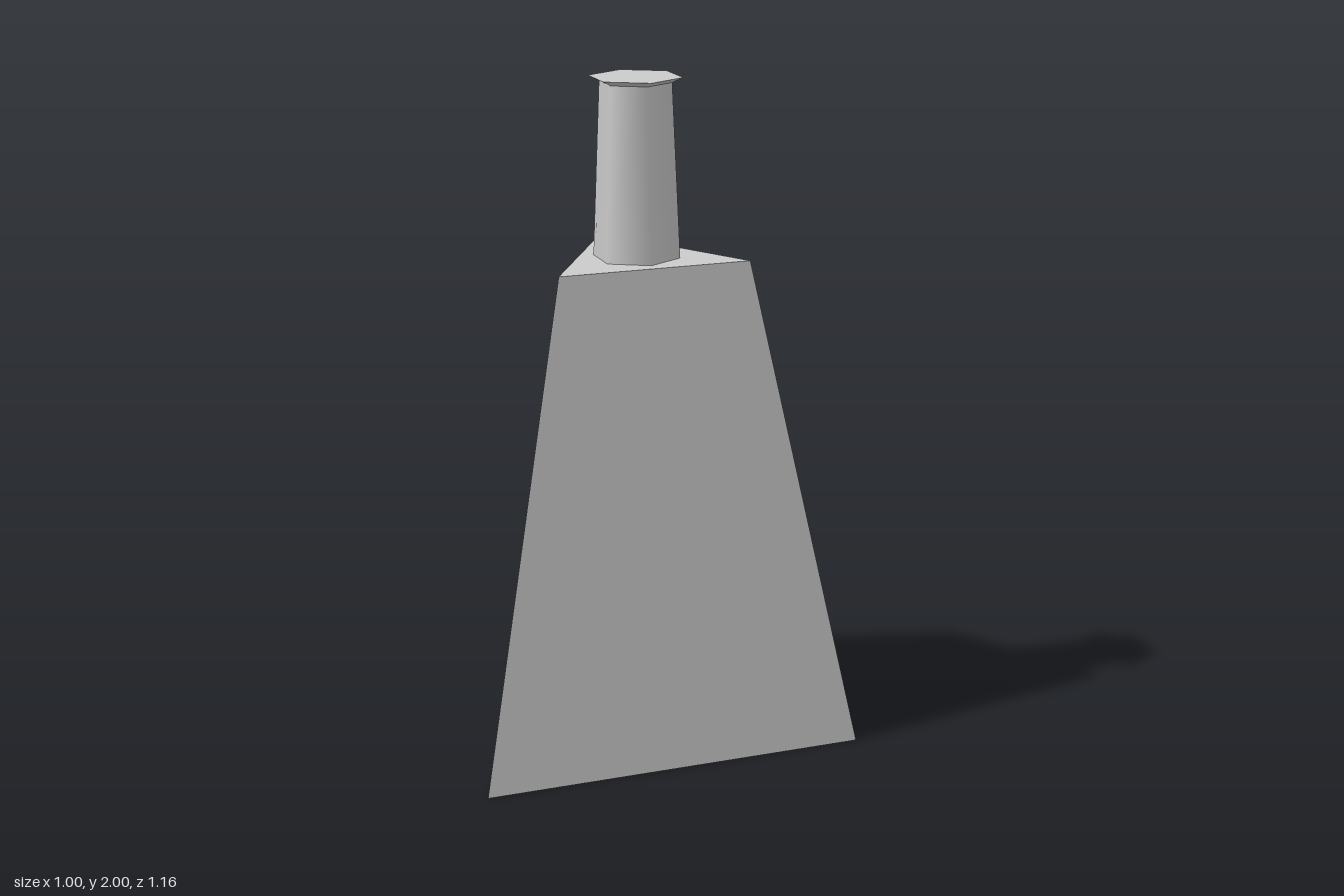
import * as THREE from 'three';

const AXIS_X = -0.167;

// Upright tapered prism with one corner pointing to +x
function taper(name, sides, rTop, rBottom, y0, y1, flatShading) {
  const geometry = new THREE.CylinderGeometry(rTop, rBottom, y1 - y0, sides, 1, false, Math.PI / 2);
  const material = new THREE.MeshStandardMaterial({ color: 0xcccccc, flatShading });
  const mesh = new THREE.Mesh(geometry, material);
  mesh.name = name;
  mesh.position.set(AXIS_X, (y0 + y1) / 2, 0);
  return mesh;
}

export function createModel() {
  const model = new THREE.Group();
  model.name = 'bottle';
  model.add(
    taper('body', 3, 0.333, 0.667, 0, 1.477, true),       // three-sided base
    taper('neck', 6, 0.106, 0.128, 1.477, 1.985, false),  // smooth-shaded hexagonal neck
    taper('lip', 6, 0.138, 0.106, 1.985, 2, true)         // thin flared rim
  );
  return model;
}
